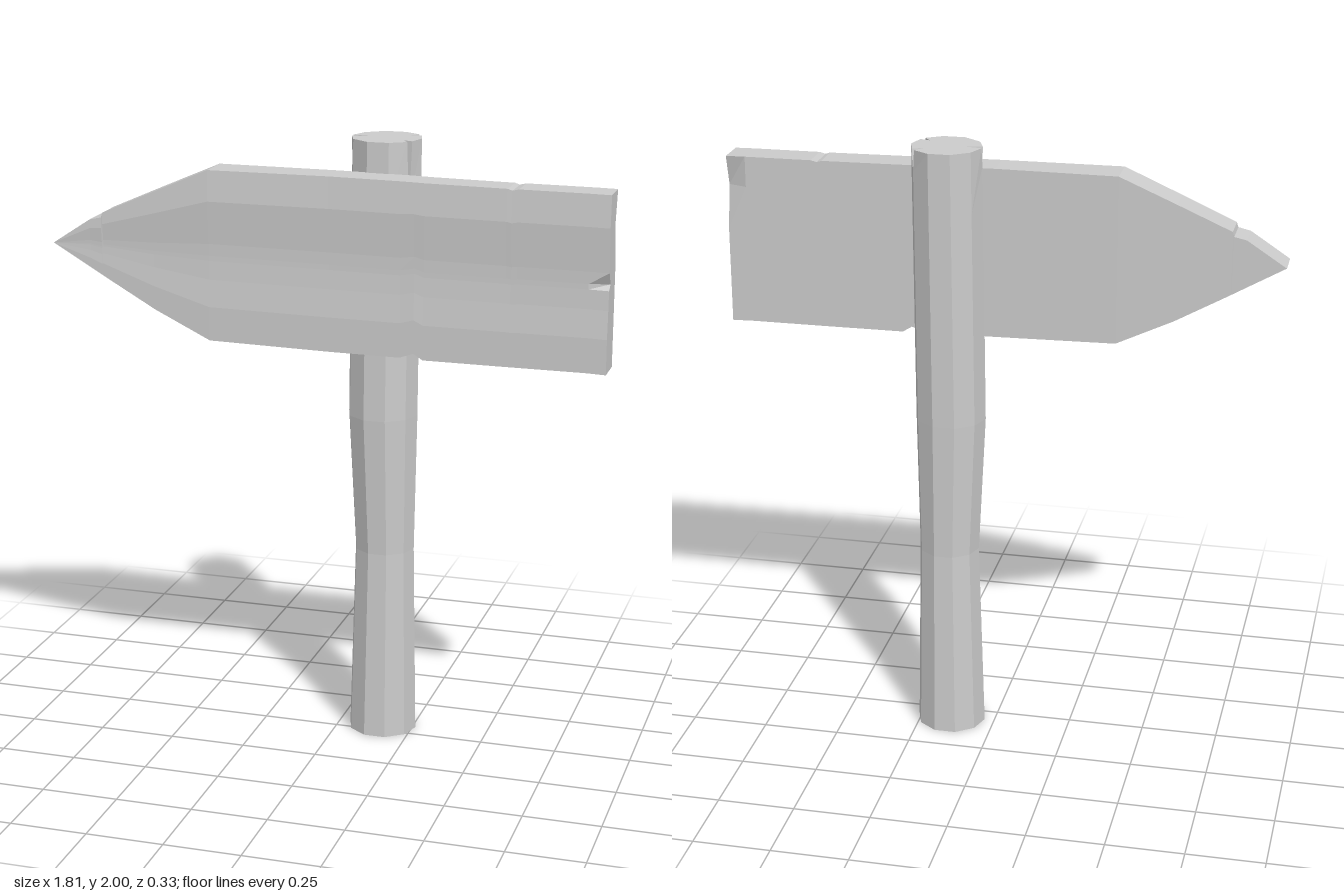
import * as THREE from 'three';

// Collects triangles as flat-shaded geometry, skipping collapsed ones
function makeMesh(name, tris) {
  const points = [];
  for (const [a, b, c] of tris) {
    const area = b.clone().sub(a).cross(c.clone().sub(a)).length();
    if (area > 1e-8) points.push(a, b, c);
  }
  const geometry = new THREE.BufferGeometry().setFromPoints(points);
  geometry.computeVertexNormals();
  const material = new THREE.MeshStandardMaterial({
    color: 0xcccccc, flatShading: true, side: THREE.DoubleSide,
  });
  const mesh = new THREE.Mesh(geometry, material);
  mesh.name = name;
  return mesh;
}

const quad = (tris, a, b, c, d) => tris.push([a, b, c], [a, c, d]);

// Ten-sided wooden post, open underneath, with cracks split into its top
function createPost() {
  const sides = 10;
  // height, radius, centre x, centre z
  const rings = [
    [0, 0.114, 0.147, -0.055],
    [0.64, 0.099, 0.15, -0.055],
    [1.1, 0.115, 0.143, -0.05],
    [2, 0.113, 0.149, -0.055],
  ];
  // cracks by corner number: depth down the side, inner radius
  const cracks = { 1: [0.2, 0.08], 5: [0.06, 0.056], 9: [0.07, 0.075] };
  const at = ([y, r, cx, cz], angle, radius = r) =>
    new THREE.Vector3(cx + radius * Math.cos(angle), y, cz + radius * Math.sin(angle));

  const top = rings[3];
  const columns = [];
  for (let k = 0; k < sides; k++) {
    const angle = (k / sides) * Math.PI * 2;
    const crack = cracks[k];
    const column = rings.slice(0, 3).map((ring) => at(ring, angle));
    const rim = at(top, angle);
    const depth = crack ? crack[0] : 0.2;
    column.push(column[2].clone().lerp(rim, 1 - depth / 0.9));
    columns.push({
      column,
      before: crack ? at(top, angle - 0.09) : rim,
      after: crack ? at(top, angle + 0.09) : rim,
      inner: crack ? at(top, angle, crack[1]) : rim,
    });
  }

  const tris = [];
  const centre = new THREE.Vector3(top[2], top[0], top[3]);
  columns.forEach((p, k) => {
    const q = columns[(k + 1) % sides];
    for (let i = 0; i < 3; i++) {
      quad(tris, q.column[i], p.column[i], p.column[i + 1], q.column[i + 1]);
    }
    quad(tris, q.column[3], p.column[3], p.after, q.before);
    // crack walls
    tris.push([p.column[3], p.before, p.inner], [p.column[3], p.inner, p.after]);
    // top cap
    tris.push([centre, q.before, p.after]);
    tris.push([centre, p.after, p.inner], [centre, p.inner, p.before]);
  });
  return makeMesh('post', tris);
}

// Arrow-shaped plank lofted along x, with a wavy grain and chipped edges
function createBoard() {
  // x, bottom y, top y, bulge in thickness
  const sections = [
    [-0.907, 1.64, 1.64, 0],
    [-0.78, 1.567, 1.723, 0.001],
    [-0.74, 1.544, 1.732, 0.002],
    [-0.735, 1.541, 1.748, 0.002],
    [-0.56, 1.443, 1.825, 0.005],
    [-0.375, 1.355, 1.905, 0.008],
    [0.02, 1.346, 1.905, 0.002],
    [0.25, 1.344, 1.902, 0.001],
    [0.295, 1.36, 1.901, 0.001],
    [0.325, 1.341, 1.9, 0.001],
    [0.585, 1.34, 1.897, 0],
    [0.6, 1.34, 1.892, 0],
    [0.62, 1.34, 1.897, 0],
    [0.84, 1.34, 1.896, 0],
    [0.903, 1.338, 1.895, 0],
  ];
  const rows = [0, 0.2, 0.36, 0.47, 0.5, 0.57, 0.82, 1];
  const wave = [0, 0.002, -0.004, -0.006, -0.006, -0.005, 0.006, 0];
  const last = sections.length - 1;

  const grid = sections.map(([x, low, high, bulge], i) => {
    const side = (z, chipRow, chip, sign) => rows.map((t, j) => {
      const grain = sign > 0 ? wave[j] * Math.min(1, (high - low) / 0.5) : 0;
      const dent = i === last && j === chipRow ? chip : 0;
      return new THREE.Vector3(x, low + (high - low) * t, z + sign * bulge + grain + dent);
    });
    return { front: side(0.153, 4, -0.022, 1), back: side(0.05, 6, 0.025, -1) };
  });

  const tris = [];
  for (let i = 0; i < last; i++) {
    const loop = (s) => [...s.front, ...s.back.slice().reverse()];
    const a = loop(grid[i]);
    const b = loop(grid[i + 1]);
    a.forEach((_, j) => {
      const n = (j + 1) % a.length;
      quad(tris, a[j], b[j], b[n], a[n]);
    });
  }
  // square end
  const { front, back } = grid[last];
  for (let j = 0; j < rows.length - 1; j++) {
    quad(tris, front[j], back[j], back[j + 1], front[j + 1]);
  }
  return makeMesh('arrowBoard', tris);
}

export function createModel() {
  const group = new THREE.Group();
  group.name = 'signpost';
  group.add(createPost(), createBoard());
  return group;
}
